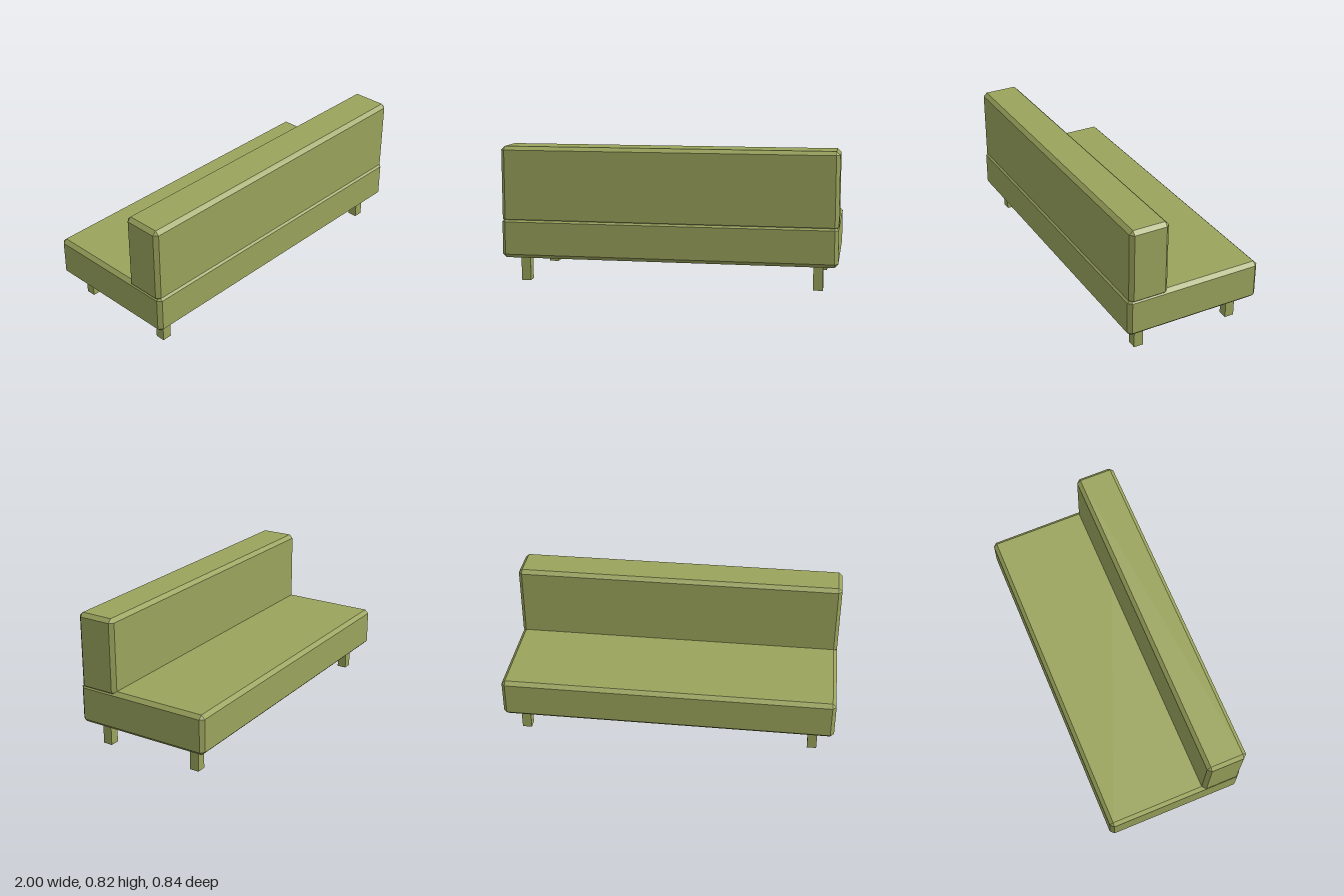
import * as THREE from 'three';
import { ConvexGeometry } from 'three/addons/geometries/ConvexGeometry.js';

const BEVEL = 0.022;

// Box with every edge and corner cut flat
function chamferedBox(w, h, d, b) {
  const points = [];
  for (const sx of [-1, 1]) for (const sy of [-1, 1]) for (const sz of [-1, 1]) {
    const x = w / 2, y = h / 2, z = d / 2;
    points.push(
      new THREE.Vector3(sx * x, sy * (y - b), sz * (z - b)),
      new THREE.Vector3(sx * (x - b), sy * y, sz * (z - b)),
      new THREE.Vector3(sx * (x - b), sy * (y - b), sz * z)
    );
  }
  return new ConvexGeometry(points);
}

export function createModel() {
  const group = new THREE.Group();
  const olive = new THREE.MeshStandardMaterial({ color: 0x9aa35c, flatShading: true });

  function add(name, geometry, x, y, z) {
    const mesh = new THREE.Mesh(geometry, olive);
    mesh.name = name;
    mesh.position.set(x, y, z);
    group.add(mesh);
  }

  // Seat cushion
  add('seat', chamferedBox(2, 0.24, 0.84, BEVEL), 0, 0.27, 0);

  // Backrest, sunk slightly into the seat along the +z side
  add('backrest', chamferedBox(2, 0.459, 0.24, BEVEL), 0, 0.5905, 0.292);

  // Four square legs
  const legGeometry = new THREE.BoxGeometry(0.057, 0.16, 0.057);
  for (const x of [-0.877, 0.884]) {
    for (const z of [-0.301, 0.308]) add('leg', legGeometry, x, 0.08, z);
  }

  return group;
}
